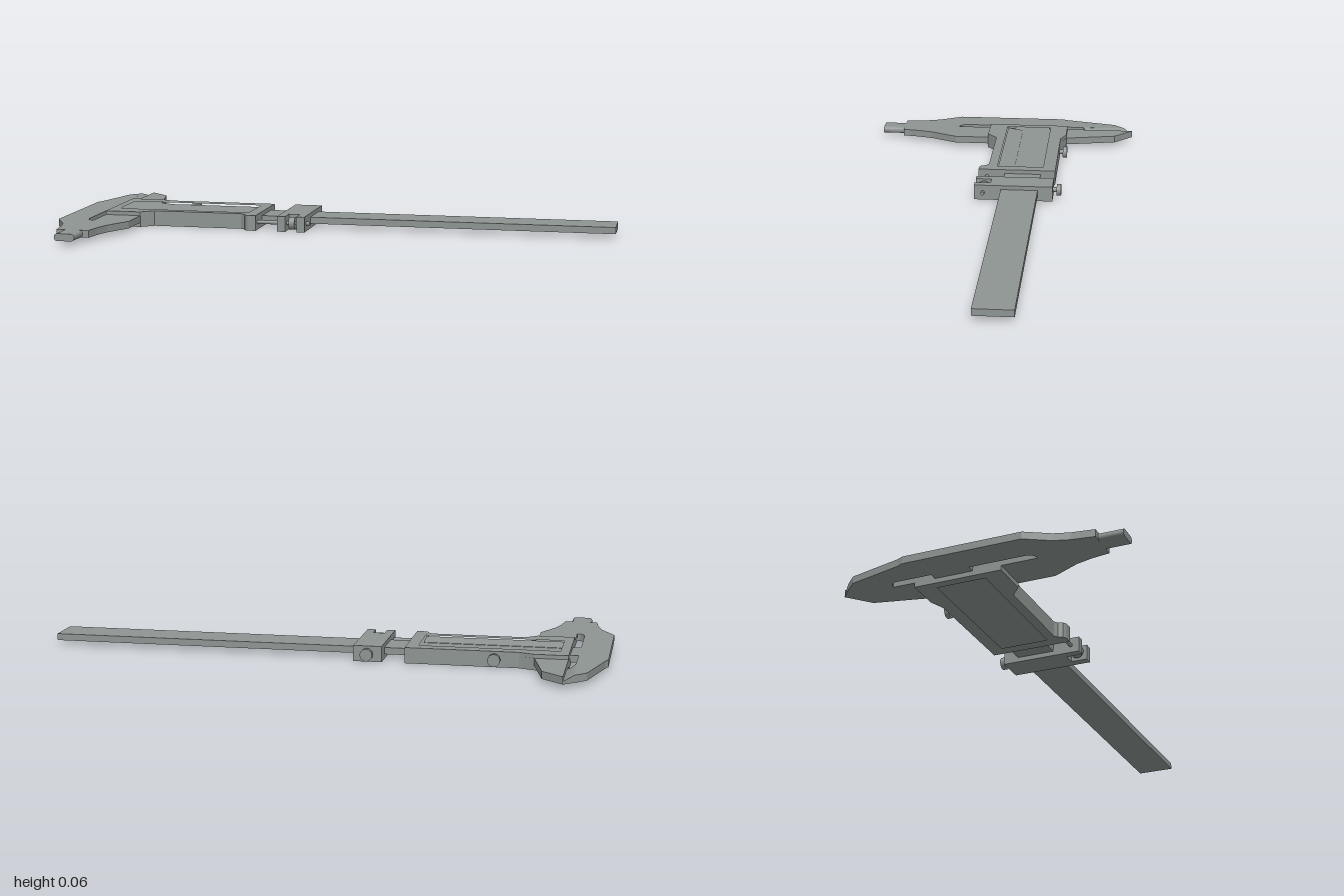
import * as THREE from 'three';

const steel = new THREE.MeshStandardMaterial({ color: 0x8e9593 });
steel.name = 'brushed steel';

// Levels of the thin jaws and of the thick slider
const LOW = 0.016, HIGH = 0.042, TOP = 0.056;

// Flat plate from [x, z] points, standing between heights y0 and y1
function plate(points, y0, y1, hole) {
  const toVec = ([x, z]) => new THREE.Vector2(x, -z);
  const shape = new THREE.Shape(points.map(toVec));
  if (hole) shape.holes.push(new THREE.Path(hole.map(toVec)));
  const g = new THREE.ExtrudeGeometry(shape, { depth: y1 - y0, bevelEnabled: false });
  return g.rotateX(-Math.PI / 2).translate(0, y0, 0);
}

const rect = (x0, x1, z0, z1) => [[x0, z0], [x1, z0], [x1, z1], [x0, z1]];

export function createModel() {
  const root = new THREE.Group();
  root.name = 'caliper';

  function add(name, geometry, parent = root) {
    const mesh = new THREE.Mesh(geometry, steel);
    mesh.name = name;
    parent.add(mesh);
    return mesh;
  }

  // Cylinder along an axis ('x' or 'z') from a to b
  function rod(name, axis, radius, a, b, u, v, parent = root) {
    const g = new THREE.CylinderGeometry(radius, radius, b - a, 24);
    if (axis === 'x') g.rotateZ(Math.PI / 2).translate((a + b) / 2, u, v);
    else g.rotateX(Math.PI / 2).translate(u, v, (a + b) / 2);
    return add(name, g, parent);
  }

  // Long beam
  add('beam', plate(rect(-0.93, 1, -0.172, -0.035), LOW + 0.001, HIGH - 0.001));

  // Fixed jaw with relief slots beside the beam
  add('fixedJaw', plate([
    [-0.903, -0.475], [-0.941, -0.436], [-0.99, -0.243], [-1, -0.222], [-1, 0.2],
    [-0.952, 0.286], [-0.936, 0.34], [-0.925, 0.42], [-0.866, 0.42], [-0.866, 0.197],
    [-0.878, 0.195], [-0.889, 0.185], [-0.895, 0.165], [-0.895, -0.32],
  ], LOW, HIGH));

  // Knife edge of the fixed jaw, thinned towards the parting line
  const knife = plate([[-0.903, -0.475], [-0.866, -0.509], [-0.866, -0.325],
    [-0.88, -0.322], [-0.895, -0.31]], LOW, HIGH);
  const p = knife.attributes.position;
  for (let i = 0; i < p.count; i++) {
    if (p.getY(i) > 0.03 && p.getX(i) > -0.89) {
      p.setY(i, HIGH - 0.016 * (p.getX(i) + 0.9) / 0.034);
    }
  }
  knife.computeVertexNormals();
  add('fixedKnifeEdge', knife);

  // Moving jaws and slider core
  add('movingJaw', plate([
    [-0.866, -0.509], [-0.791, -0.44], [-0.749, -0.249], [-0.695, -0.227],
    [-0.695, 0.03], [-0.733, 0.067], [-0.733, 0.2], [-0.781, 0.297], [-0.797, 0.355],
    [-0.807, 0.42], [-0.866, 0.42],
  ], LOW, HIGH));

  // Rounded measuring nibs below each jaw
  for (const side of [-1, 1]) {
    const nib = new THREE.Shape();
    nib.moveTo(0, LOW);
    nib.lineTo(0.026, LOW);
    nib.quadraticCurveTo(0.037, LOW + 0.002, 0.037, (LOW + HIGH) / 2);
    nib.quadraticCurveTo(0.037, HIGH - 0.002, 0.026, HIGH);
    nib.lineTo(0, HIGH);
    const g = new THREE.ExtrudeGeometry(nib, { depth: 0.087, bevelEnabled: false, curveSegments: 5 });
    g.translate(0, 0, 0.418);
    if (side < 0) g.translate(0, -(LOW + HIGH) / 2, 0).rotateZ(Math.PI).translate(0, (LOW + HIGH) / 2, 0);
    g.translate(-0.866, 0, 0);
    add(side < 0 ? 'fixedNib' : 'movingNib', g);
  }

  // Thick slider: middle layer plus upper and lower plates with a window
  const slider = new THREE.Group();
  slider.name = 'slider';
  root.add(slider);
  const body = [
    [-0.866, -0.247], [-0.749, -0.247], [-0.695, -0.227], [-0.295, -0.227], [-0.295, 0.064],
    [-0.325, 0.064], [-0.337, 0.056], [-0.343, 0.04], [-0.358, 0.03], [-0.69, 0.03],
    [-0.733, 0.067], [-0.866, 0.067],
  ];
  const window = rect(-0.834, -0.337, -0.179, -0.004);
  add('sliderCore', plate(body, LOW, HIGH), slider);
  add('sliderTop', plate(body, HIGH, TOP, window), slider);
  add('sliderBottom', plate(body, 0, LOW, window), slider);

  // Sloping scale plate inside the window
  const wedge = new THREE.Shape([[0.007, 0.042], [0.067, 0.042], [0.067, 0.0435], [0.007, 0.053]]
    .map(([z, y]) => new THREE.Vector2(z, y)));
  const scale = new THREE.ExtrudeGeometry(wedge, { depth: 0.493, bevelEnabled: false });
  scale.rotateY(Math.PI / 2).translate(-0.832, 0, 0);
  add('scalePlate', scale, slider);

  // Fine adjustment clamp with a fork at the front
  const clamp = new THREE.Group();
  clamp.name = 'adjustmentClamp';
  root.add(clamp);
  add('clampBlock', plate([
    [-0.214, -0.227], [-0.112, -0.227], [-0.112, 0.064], [-0.142, 0.064], [-0.142, 0.005],
    [-0.184, 0.005], [-0.184, 0.064], [-0.214, 0.064],
  ], 0, TOP), clamp);
  rod('adjustmentScrew', 'x', 0.007, -0.34, -0.098, 0.028, 0.032, clamp);
  rod('adjustmentWheel', 'x', 0.023, -0.174, -0.152, 0.028, 0.032, clamp);

  // Two locking thumb screws at the back
  for (const x of [-0.61, -0.163]) {
    const screw = new THREE.Group();
    screw.name = 'lockingScrew';
    root.add(screw);
    rod('screwStem', 'z', 0.009, -0.25, -0.2, x, 0.029, screw);
    rod('screwHead', 'z', 0.022, -0.257, -0.241, x, 0.029, screw);
  }

  return root;
}
